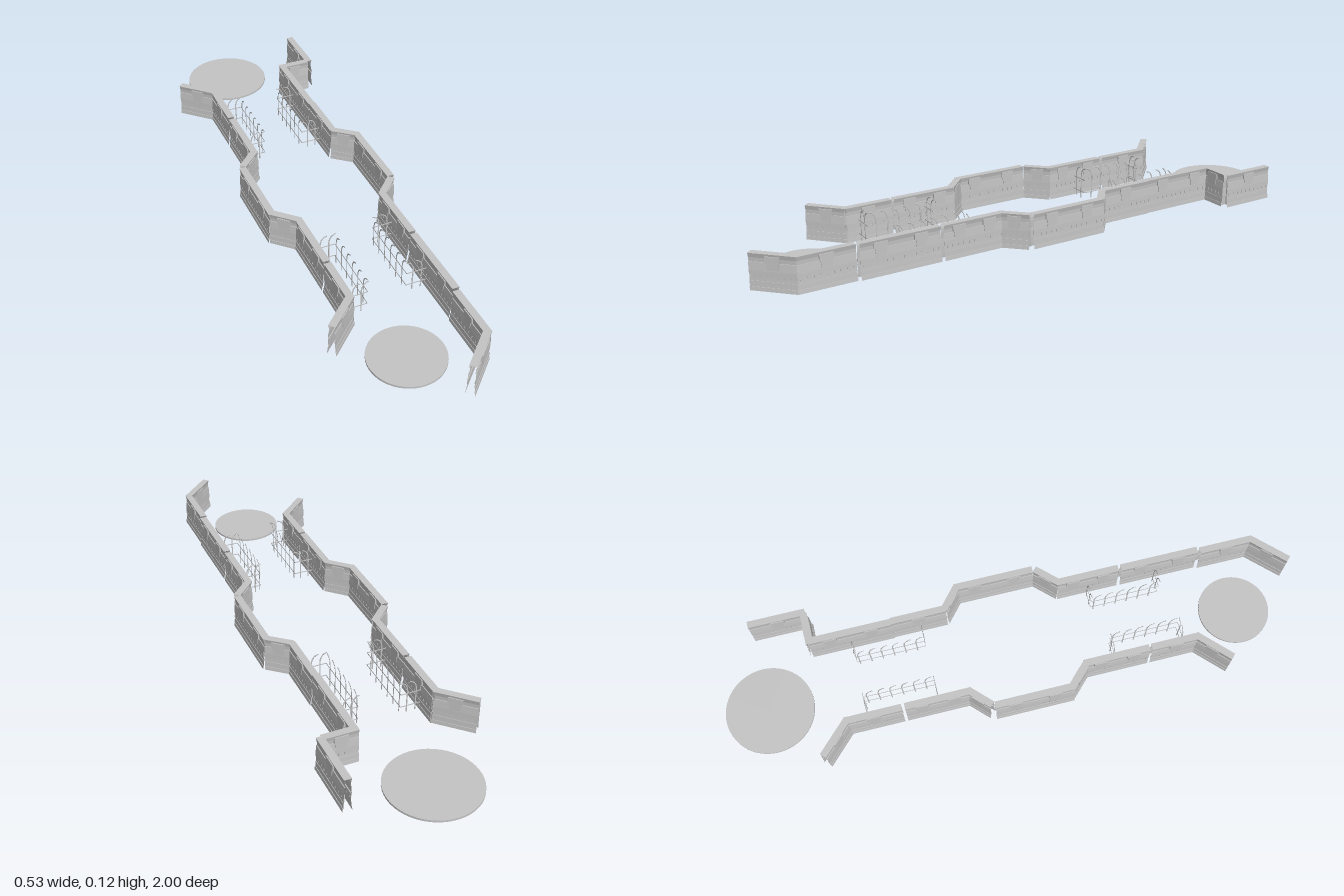
import * as THREE from 'three';

const stone = new THREE.MeshStandardMaterial({ color: 0xc4c4c4, side: THREE.DoubleSide });
stone.name = 'grey';

// Half cross-section of the hollow wall: [half thickness, height], bottom to top
const HALF = [
  [0.015, 0.007], [0.0142, 0.02], [0.0125, 0.02], [0.012, 0.038],
  [0.0105, 0.038], [0.0095, 0.07], [0.012, 0.07], [0.0105, 0.097],
  [0.008, 0.097], [0.0087, 0.11], [0.012, 0.124],
];

function mesh(geometry, name) {
  const m = new THREE.Mesh(geometry, stone);
  m.name = name;
  return m;
}

// Open-ended shell swept along x from the mirrored cross-section
function shell(length) {
  const path = [...HALF, ...HALF.map(([z, y]) => [-z, y]).reverse()];
  const h = length / 2;
  const pos = [];
  for (let i = 0; i < path.length - 1; i++) {
    const [z0, y0] = path[i];
    const [z1, y1] = path[i + 1];
    pos.push(-h, y0, z0, h, y0, z0, h, y1, z1, -h, y0, z0, h, y1, z1, -h, y1, z1);
  }
  const g = new THREE.BufferGeometry();
  g.setAttribute('position', new THREE.Float32BufferAttribute(pos, 3));
  g.computeVertexNormals();
  return g;
}

function plate(points, depth) {
  const shape = new THREE.Shape(points.map(([x, y]) => new THREE.Vector2(x, y)));
  return new THREE.ExtrudeGeometry(shape, { depth, bevelEnabled: false });
}

// Stepped plate near the top of the wall
const hatch = plate([
  [-0.017, 0.074], [0.017, 0.074], [0.019, 0.096], [0.023, 0.098],
  [0.023, 0.117], [-0.023, 0.117], [-0.023, 0.098], [-0.019, 0.096],
], 0.0055);

// Band with a toothed lower edge
function toothedBand(length) {
  const n = Math.max(2, Math.round(length / 0.02));
  const step = length / n;
  const pts = [[length / 2, 0.07], [-length / 2, 0.07]];
  for (let i = 0; i < n; i++) {
    const x = -length / 2 + i * step;
    pts.push([x, 0.057], [x + step / 2, 0.057], [x + step / 2, 0.048], [x + step, 0.048]);
  }
  return plate(pts, 0.003);
}

function wallPanel([x1, z1], [x2, z2]) {
  const length = Math.hypot(x2 - x1, z2 - z1);
  const panel = new THREE.Group();
  panel.name = 'wallPanel';
  panel.add(mesh(shell(length), 'wallShell'));
  const bandGeometry = toothedBand(length);
  const count = Math.max(1, Math.round(length / 0.13));
  for (const turn of [0, Math.PI]) {
    const side = new THREE.Group();
    side.name = 'wallFace';
    side.rotation.y = turn;
    const band = mesh(bandGeometry, 'toothedBand');
    band.position.z = 0.009;
    side.add(band);
    for (let i = 0; i < count; i++) {
      const plateMesh = mesh(hatch, 'wallPlate');
      plateMesh.position.set(((i + 0.5) / count - 0.5) * length, 0, 0.008);
      side.add(plateMesh);
    }
    panel.add(side);
  }
  panel.position.set((x1 + x2) / 2, 0, (z1 + z2) / 2);
  panel.rotation.y = -Math.atan2(z2 - z1, x2 - x1);
  return panel;
}

// Flattened post with a hooked top, bending along +x
const post = new THREE.TubeGeometry(new THREE.CatmullRomCurve3([
  [0, 0.008], [0, 0.05], [0, 0.095], [0.006, 0.111], [0.014, 0.118], [0.023, 0.121],
].map(([x, y]) => new THREE.Vector3(x, y, 0))), 14, 0.0022, 6).scale(1, 1, 0.5);

// Thin flat rail between two points at one height
function rail([x1, z1], [x2, z2], y) {
  const length = Math.hypot(x2 - x1, z2 - z1);
  const r = mesh(new THREE.BoxGeometry(length, 0.003, 0.0012), 'rail');
  r.position.set((x1 + x2) / 2, y, (z1 + z2) / 2);
  r.rotation.y = -Math.atan2(z2 - z1, x2 - x1);
  return r;
}

// Three-sided railing standing against a wall
function railing(xWall, xOuter, z1, z2) {
  const g = new THREE.Group();
  g.name = 'railing';
  const dir = Math.sign(xOuter - xWall);
  const addPost = (x, z, turn) => {
    const p = mesh(post, 'hookedPost');
    p.position.set(x, 0, z);
    p.rotation.y = turn;
    g.add(p);
  };
  for (const z of [z1, z2]) {
    for (const d of [0.051, 0.021]) addPost(xOuter - dir * d, z, dir > 0 ? 0 : Math.PI);
  }
  const n = 6;
  for (let i = 0; i < n; i++) {
    addPost(xOuter, z1 + 0.01 + (i / n) * (z2 - z1), -Math.PI / 2);
  }
  for (const y of [0.031, 0.078]) {
    g.add(rail([xWall, z1], [xOuter, z1], y));
    g.add(rail([xWall, z2], [xOuter, z2], y));
    g.add(rail([xOuter, z1], [xOuter, z2], y));
  }
  return g;
}

function disc(x, z, r) {
  const d = mesh(new THREE.CylinderGeometry(r, r, 0.007, 48), 'groundDisc');
  d.position.set(x, 0.0035, z);
  return d;
}

export function createModel() {
  const model = new THREE.Group();
  model.name = 'walledCorridor';

  // Wall panels as start and end points [x, z]
  const rightWall = [
    [[-0.256, -0.695], [-0.153, -0.595]], [[-0.158, -0.608], [-0.158, -0.415]],
    [[-0.158, -0.405], [-0.158, -0.185]], [[-0.152, -0.192], [-0.222, -0.124]],
    [[-0.226, -0.115], [-0.226, 0.155]], [[-0.227, 0.145], [-0.156, 0.215]],
    [[-0.158, 0.205], [-0.158, 0.432]], [[-0.158, 0.44], [-0.158, 0.608]],
    [[-0.152, 0.595], [-0.257, 0.693]],
  ];
  const leftWall = [
    [[0.25, -0.857], [0.25, -0.662]], [[0.245, -0.667], [0.132, -0.667]],
    [[0.143, -0.672], [0.143, -0.386]], [[0.146, -0.388], [0.146, -0.198]],
    [[0.144, -0.203], [0.214, -0.144]], [[0.213, -0.152], [0.213, 0.123]],
    [[0.212, 0.13], [0.143, 0.2]], [[0.146, 0.194], [0.146, 0.41]],
    [[0.145, 0.42], [0.145, 0.693]], [[0.14, 0.702], [0.14, 0.89]],
    [[0.144, 0.88], [0.035, 0.987]],
  ];
  for (const [a, b] of [...rightWall, ...leftWall]) model.add(wallPanel(a, b));

  // Railings
  model.add(railing(-0.148, -0.079, -0.53, -0.29), railing(-0.148, -0.079, 0.32, 0.56));
  model.add(railing(0.134, 0.065, -0.53, -0.29), railing(0.134, 0.065, 0.295, 0.535));

  // Ground discs at both ends
  model.add(disc(-0.023, -0.85, 0.15), disc(-0.057, 0.78, 0.122));
  return model;
}
